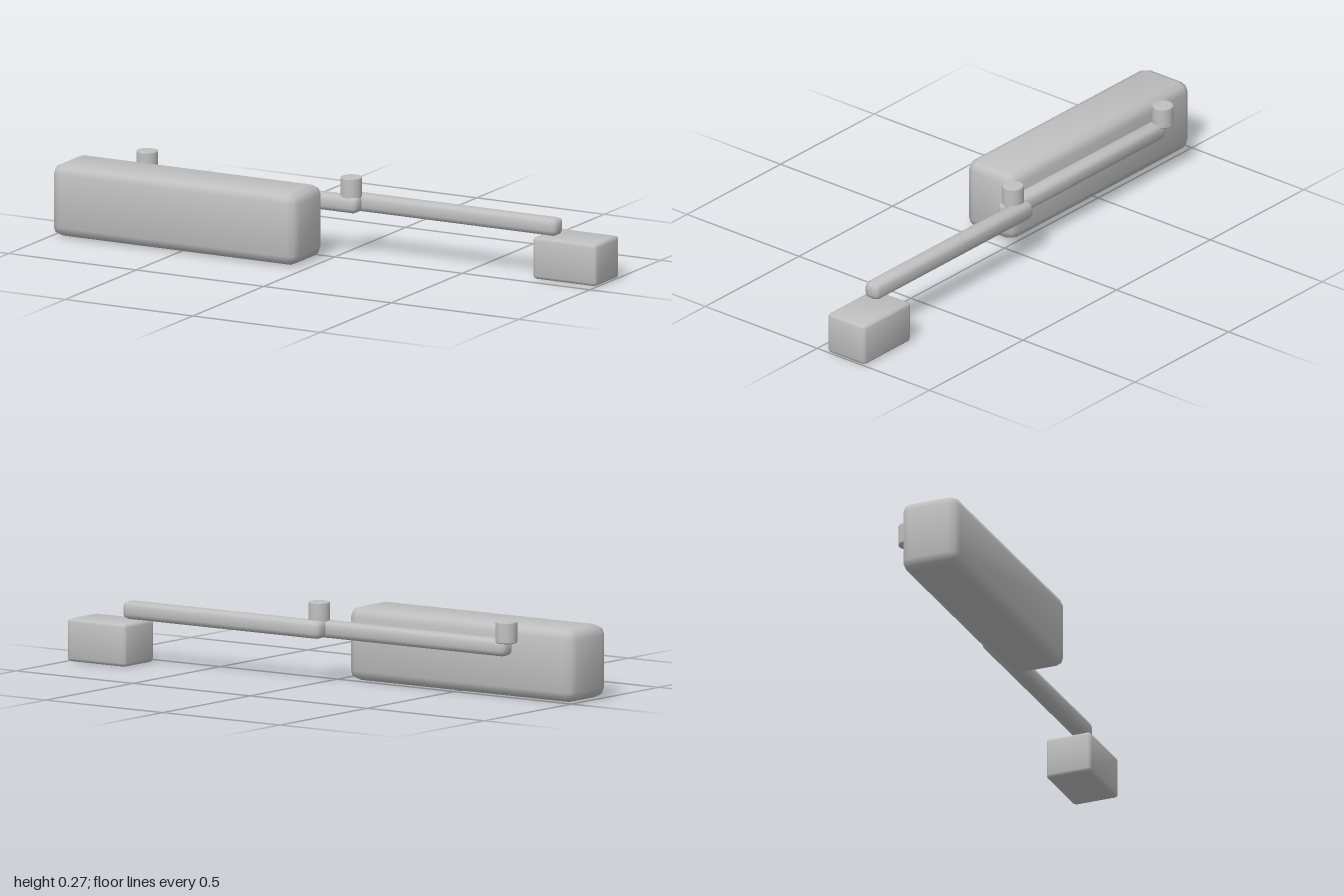
import * as THREE from 'three';
import { RoundedBoxGeometry } from 'three/addons/geometries/RoundedBoxGeometry.js';

const metal = new THREE.MeshStandardMaterial({ color: 0xc0c0c0 });
metal.name = 'light grey metal';

// Bevelled box given by its min and max corners, with softly bulging normals
function bevelBox(name, min, max, radius) {
  const size = max.map((v, i) => v - min[i]);
  const geo = new RoundedBoxGeometry(...size, 1, radius);
  const pos = geo.attributes.position;
  const nor = geo.attributes.normal;
  const n = new THREE.Vector3();
  for (let i = 0; i < pos.count; i++) {
    n.fromBufferAttribute(nor, i);
    n.x += 0.22 * Math.sign(pos.getX(i));
    n.y += 0.22 * Math.sign(pos.getY(i));
    n.z += 0.22 * Math.sign(pos.getZ(i));
    n.normalize();
    nor.setXYZ(i, n.x, n.y, n.z);
  }
  const mesh = new THREE.Mesh(geo, metal);
  mesh.name = name;
  mesh.position.set(...max.map((v, i) => (v + min[i]) / 2));
  return mesh;
}

// Upright pivot pin with slightly bevelled rims
function pivotPin(name, x) {
  const r = 0.0375, h = 0.075, b = 0.005;
  const profile = [
    [0, 0], [r - b, 0], [r - b * 0.3, b * 0.3], [r, b],
    [r, h - b], [r - b * 0.3, h - b * 0.3], [r - b, h], [0, h],
  ].map(([px, py]) => new THREE.Vector2(px, py));
  const mesh = new THREE.Mesh(new THREE.LatheGeometry(profile, 32), metal);
  mesh.name = name;
  mesh.position.set(x, 0.199, -0.063);
  return mesh;
}

export function createModel() {
  const group = new THREE.Group();
  group.name = 'doorCloser';
  group.add(
    // Main housing and the wall bracket
    bevelBox('housing', [-1, 0, 0], [-0.04, 0.254, 0.211], 0.035),
    bevelBox('bracket', [0.75, 0, -0.21], [1, 0.148, -0.043], 0.012),
    // Two overlapping arms
    bevelBox('mainArm', [-0.77, 0.151, -0.082], [0.07, 0.21, -0.021], 0.018),
    bevelBox('linkArm', [-0.01, 0.151, -0.125], [0.83, 0.212, -0.064], 0.018),
    // Pivots at the arm joints
    pivotPin('shaftPin', -0.77),
    pivotPin('elbowPin', 0.03),
  );
  return group;
}
